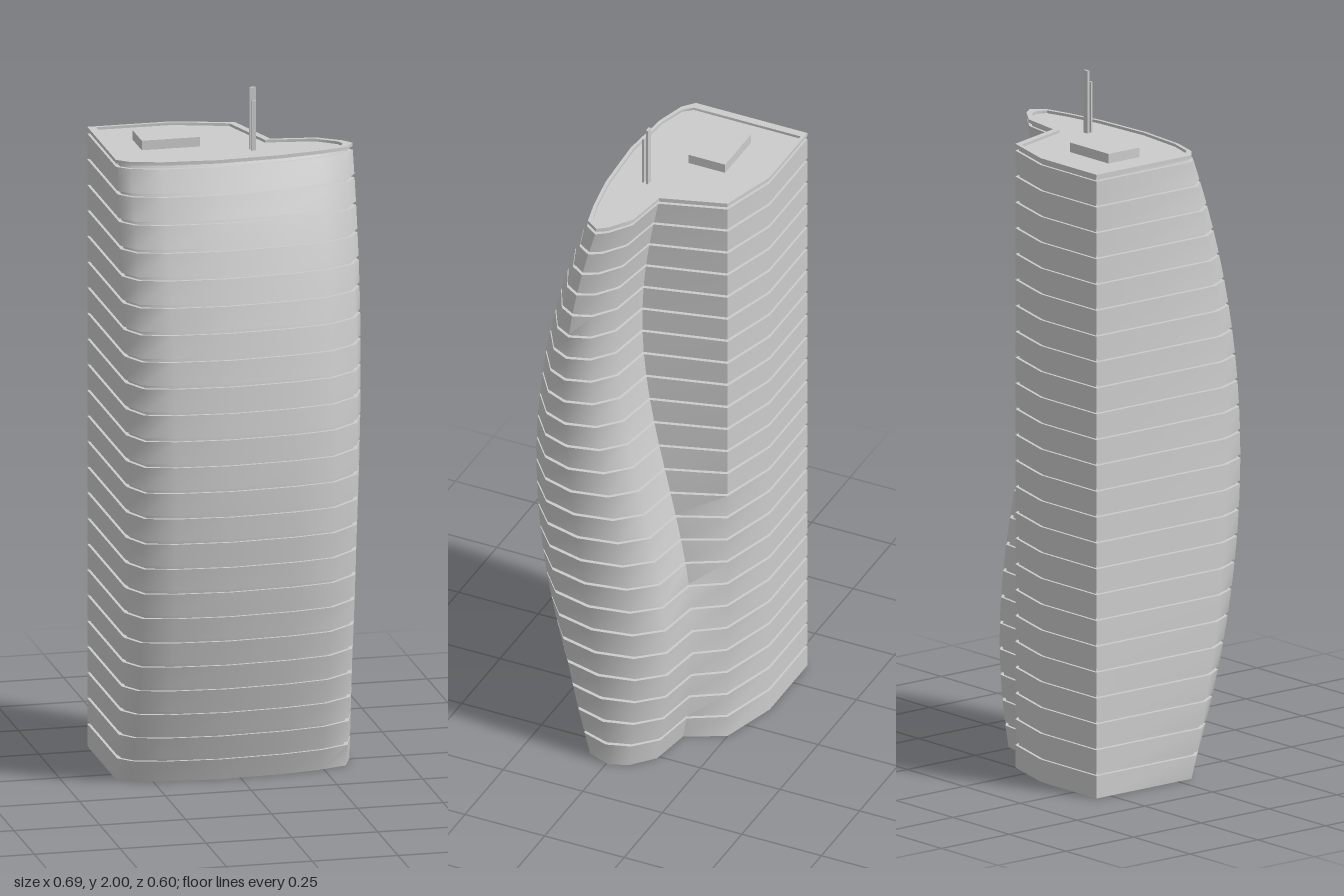
import * as THREE from 'three';
import { toCreasedNormals } from 'three/addons/utils/BufferGeometryUtils.js';

const FLOORS = 24, HEIGHT = 1.815, GAP = 0.01;

// Footprint corners at roof level: x, z, share of the front bulge, share of the wing sway
const PLAN = [
  [-0.347, -0.3, 0, 0], [-0.1, -0.3, 0, 0], [0.072, -0.25, 0, 0],
  [0.13, -0.065, 0, 1], [0.26, -0.046, 0, 1], [0.325, 0, 0.1, 0.85],
  [0.347, 0.03, 0.5, 0.5], [0.32, 0.07, 0.75, 0.1], [0.24, 0.09, 1, 0],
  [0.12, 0.11, 1, 0], [-0.065, 0.12, 1, 0], [-0.225, 0.105, 1, 0],
  [-0.312, 0.08, 1, 0], [-0.347, 0.05, 0.72, 0],
];

// Footprint at height y, pulled inwards by insetX and insetZ
function ring(y, footY, insetX = 0, insetZ = 0) {
  const bulge = 0.18 * (1 - ((footY - HEIGHT / 2) / (HEIGHT / 2)) ** 2);
  const sway = -0.025 + 0.08 * Math.sin((2 * Math.PI * (footY - 0.86)) / 2.15);
  const pts = PLAN.map(([x, z, b, s]) => new THREE.Vector2(x, z + b * bulge + s * sway));
  const n = pts.length;
  const normal = (a, b) => new THREE.Vector2(b.y - a.y, a.x - b.x).normalize();
  return pts.map((p, i) => {
    const n1 = normal(pts[(i + n - 1) % n], p);
    const n2 = normal(p, pts[(i + 1) % n]);
    const k = 1 / (1 + n1.dot(n2));
    return new THREE.Vector3(p.x - (n1.x + n2.x) * k * insetX, y, p.y - (n1.y + n2.y) * k * insetZ);
  });
}

// Skin through a stack of rings
function loft(rings) {
  const pos = [];
  const n = PLAN.length;
  for (let r = 0; r < rings.length - 1; r++) {
    for (let i = 0; i < n; i++) {
      const j = (i + 1) % n;
      const a = rings[r][i], b = rings[r][j], c = rings[r + 1][i], d = rings[r + 1][j];
      for (const v of [b, a, c, b, c, d]) pos.push(v.x, v.y, v.z);
    }
  }
  const g = new THREE.BufferGeometry();
  g.setAttribute('position', new THREE.Float32BufferAttribute(pos, 3));
  return toCreasedNormals(g, 0.9);
}

export function createModel() {
  const group = new THREE.Group();
  const grey = new THREE.MeshStandardMaterial({ color: 0xcccccc });
  const shellGrey = new THREE.MeshStandardMaterial({ color: 0xcccccc, side: THREE.DoubleSide });

  const add = (name, geometry, material = grey) => {
    const mesh = new THREE.Mesh(geometry, material);
    mesh.name = name;
    group.add(mesh);
    return mesh;
  };
  const box = (name, w, d, y0, y1, x, z) =>
    add(name, new THREE.BoxGeometry(w, y1 - y0, d)).position.set(x, (y0 + y1) / 2, z);

  // Storeys, each closed by a recessed joint; open at the bottom
  const rings = [];
  for (let f = 0; f < FLOORS; f++) {
    const y0 = (f * HEIGHT) / FLOORS;
    const y1 = ((f + 1) * HEIGHT) / FLOORS;
    rings.push(
      ring(y0, y0), ring(y1 - GAP, y1 - GAP),
      ring(y1 - GAP, y1 - GAP, 0.012, 0.008), ring(y1, y1, 0.012, 0.008),
    );
  }
  add('facade', loft(rings), shellGrey);

  // Parapet around the roof edge
  const top = HEIGHT + GAP;
  const rim = [
    ring(HEIGHT, HEIGHT, 0.012, 0.008), ring(HEIGHT, HEIGHT), ring(top, HEIGHT),
    ring(top, HEIGHT, 0.024, 0.01), ring(HEIGHT + 0.002, HEIGHT, 0.024, 0.01),
  ];
  add('parapet', loft(rim), shellGrey);

  // Roof deck
  const outline = rim[4].map((p) => new THREE.Vector2(p.x, -p.z));
  const deck = new THREE.ShapeGeometry(new THREE.Shape(outline));
  deck.rotateX(-Math.PI / 2).translate(0, HEIGHT + 0.002, 0);
  add('roofDeck', deck, shellGrey);

  // Plant room and the two masts
  box('plantRoom', 0.17, 0.115, HEIGHT, 1.845, -0.161, -0.114);
  box('tallMast', 0.018, 0.007, HEIGHT, 2, 0.062, 0.004);
  box('shortMast', 0.013, 0.006, HEIGHT, 1.965, 0.062, 0.018);

  return group;
}
